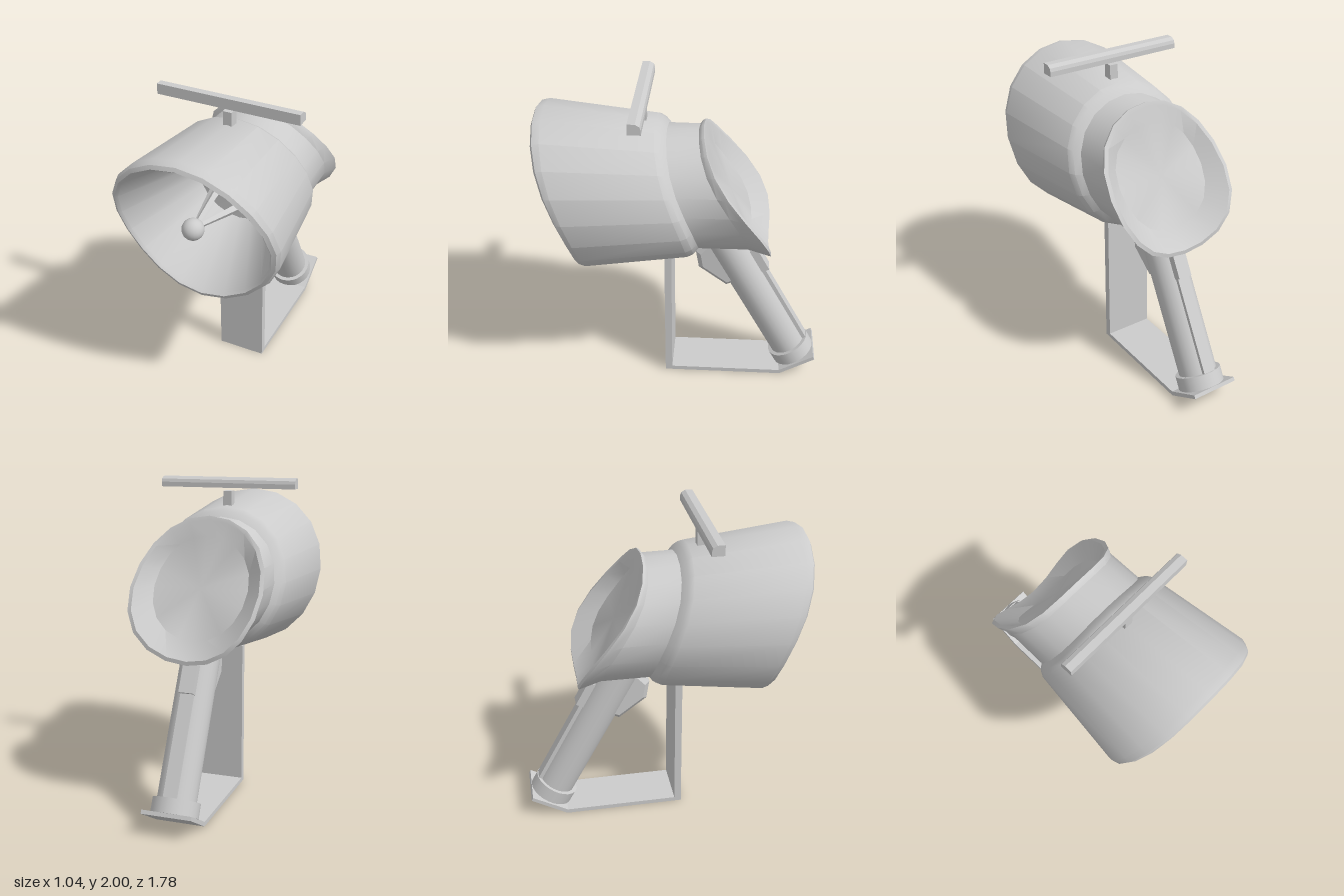
import * as THREE from 'three';
import { toCreasedNormals } from 'three/addons/utils/BufferGeometryUtils.js';

const material = new THREE.MeshStandardMaterial({ color: 0xcccccc, side: THREE.DoubleSide });

function add(parent, name, geometry, x = 0, y = 0, z = 0) {
  const mesh = new THREE.Mesh(geometry, material);
  mesh.name = name;
  mesh.position.set(x, y, z);
  parent.add(mesh);
  return mesh;
}

// Skin over round sections; each section is [radius, centreY, zTop, zMiddle, zBottom],
// so its plane can be swept into an S-curve.
function loft(sections, sides = 20) {
  const pos = [], index = [];
  for (const [r, cy, top, mid, bottom] of sections) {
    for (let j = 0; j <= sides; j++) {
      const a = (j / sides) * Math.PI * 2, t = Math.cos(a);
      const z = mid + ((top - bottom) / 2) * Math.sin((t * Math.PI) / 2) + ((top + bottom) / 2 - mid) * t * t;
      pos.push(r * Math.sin(a), cy + r * t, z);
    }
  }
  const n = sides + 1;
  for (let i = 0; i < sections.length - 1; i++) {
    for (let j = 0; j < sides; j++) {
      const a = i * n + j, b = a + 1, c = a + n, d = c + 1;
      if (sections[i][0] > 0) index.push(a, b, c);
      if (sections[i + 1][0] > 0) index.push(b, d, c);
    }
  }
  const g = new THREE.BufferGeometry();
  g.setAttribute('position', new THREE.Float32BufferAttribute(pos, 3));
  g.setIndex(index);
  return toCreasedNormals(g, 0.5);
}

// Extrude a side profile of [z, y] points across the width, centred on x = 0.
function sideExtrude(points, width, bevel = 0) {
  const shape = new THREE.Shape(points.map(([z, y]) => new THREE.Vector2(z, y)));
  const depth = width - 2 * bevel;
  const g = new THREE.ExtrudeGeometry(shape, {
    depth, bevelEnabled: bevel > 0, bevelSize: bevel, bevelOffset: -bevel, bevelThickness: bevel, bevelSegments: 1,
  });
  g.translate(0, 0, -depth / 2);
  g.rotateY(-Math.PI / 2);
  return g;
}

export function createModel() {
  const model = new THREE.Group();
  model.name = 'handheldEmitter';

  // Hollow front bell, stepped shoulder, neck and flared rear dish
  add(model, 'body', loft([
    [0, 1.365, 0.17, 0.15, 0.13],
    [0.26, 1.365, 0.17, 0.15, 0.13],
    [0.47, 1.37, 0.87, 0.715, 0.635],
    [0.485, 1.37, 0.89, 0.73, 0.655],
    [0.508, 1.37, 0.88, 0.715, 0.645],
    [0.52, 1.37, 0.83, 0.68, 0.6],
    [0.445, 1.375, 0.17, 0.04, -0.03],
    [0.425, 1.375, 0.135, 0.005, -0.07],
    [0.388, 1.375, 0.1, -0.025, -0.1],
    [0.386, 1.375, -0.09, -0.29, -0.4],
    [0.412, 1.37, -0.105, -0.36, -0.51],
    [0.42, 1.37, -0.12, -0.385, -0.54],
    [0.395, 1.37, -0.13, -0.39, -0.54],
    [0.3, 1.37, -0.155, -0.29, -0.43],
    [0, 1.37, -0.29, -0.29, -0.29],
  ]));

  // Ball on three tapering struts inside the bell
  const hub = new THREE.Vector3(0, 1.39, 0.72);
  add(model, 'emitterBall', new THREE.SphereGeometry(0.065, 20, 14), hub.x, hub.y, hub.z);
  for (let i = 0; i < 3; i++) {
    const a = (i * Math.PI * 2) / 3;
    const end = new THREE.Vector3(Math.sin(a) * 0.17, hub.y + Math.cos(a) * 0.17, 0.13);
    const dir = hub.clone().sub(end);
    const strut = new THREE.CylinderGeometry(0.012, 0.036, dir.length(), 4).toNonIndexed();
    strut.computeVertexNormals();
    const mesh = add(model, 'emitterStrut', strut);
    mesh.position.copy(hub).add(end).multiplyScalar(0.5);
    mesh.quaternion.setFromUnitVectors(new THREE.Vector3(0, 1, 0), dir.normalize());
  }

  // Sight bar floating just above its post
  add(model, 'sightPost', new THREE.BoxGeometry(0.055, 0.11, 0.06), 0, 1.86, 0.25);
  add(model, 'sightBar', sideExtrude(
    [[0.285, 1.935], [0.285, 2], [0.24, 2], [0.215, 1.985], [0.208, 1.965], [0.208, 1.935]], 0.895));

  // Bent strap from the bell down and back to the foot of the grip
  add(model, 'strap', sideExtrude([
    [0.115, 0.94], [0.115, 0.005], [-0.66, 0.005], [-0.89, 0.14], [-0.88, 0.162],
    [-0.655, 0.033], [0.07, 0.033], [0.07, 0.94],
  ], 0.31));

  // Slanted grip with collar, back strip and thumb button
  const grip = new THREE.Group();
  grip.name = 'grip';
  grip.position.set(0, 0.115, -0.74);
  grip.rotation.x = 0.5;
  model.add(grip);
  add(grip, 'handle', new THREE.CylinderGeometry(0.12, 0.12, 1.03, 24), 0, 0.515, 0);
  add(grip, 'collar', new THREE.CylinderGeometry(0.145, 0.145, 0.09, 24), 0, 0.02, 0);
  add(grip, 'backStrip', new THREE.BoxGeometry(0.08, 0.9, 0.06), 0, 0.49, -0.107);
  add(grip, 'thumbButton', new THREE.BoxGeometry(0.09, 0.18, 0.08), 0, 0.77, -0.122);

  // Trigger guard block under the neck
  add(model, 'trigger', sideExtrude([
    [-0.16, 1.01], [-0.08, 0.92], [-0.1, 0.8], [-0.28, 0.665], [-0.38, 0.71], [-0.28, 1.01],
  ], 0.16, 0.03));

  return model;
}
